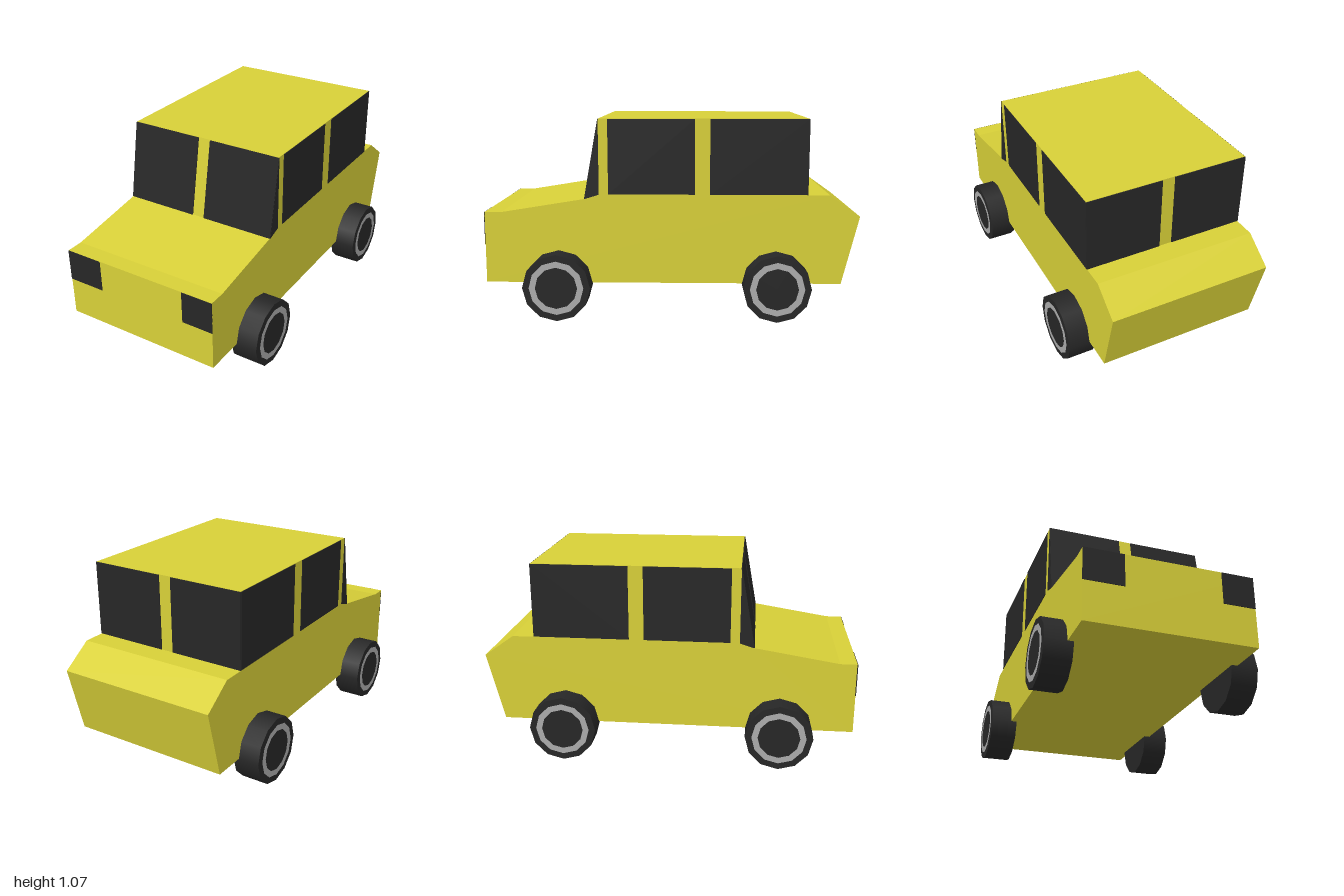
import * as THREE from 'three';

const HALF = 0.443; // half width of the car
const SKIN = 0.004; // thickness of painted plates

const paint = (name, color) => {
  const m = new THREE.MeshStandardMaterial({ color });
  m.name = name;
  return m;
};

export function createModel() {
  const car = new THREE.Group();
  car.name = 'car';
  const yellow = paint('yellow paint', 0xd8d038);
  const black = paint('black', 0x272727);
  const grey = paint('grey rim', 0xacacac);

  const add = (name, geometry, material, parent = car) => {
    const mesh = new THREE.Mesh(geometry, material);
    mesh.name = name;
    parent.add(mesh);
    return mesh;
  };

  // Side profile given as [z, y] points, extruded across from x0 to x1
  const slab = (name, profile, x0, x1, material) => {
    const shape = new THREE.Shape(profile.map(([z, y]) => new THREE.Vector2(z, y)));
    const g = new THREE.ExtrudeGeometry(shape, { depth: x1 - x0, bevelEnabled: false });
    g.rotateY(-Math.PI / 2).translate(x1, 0, 0);
    return add(name, g, material);
  };

  // Lower body and cabin
  slab('body', [[1, 0.183], [1, 0.567], [0.91, 0.567], [0.46, 0.64], [0.385, 0.663],
    [-0.84, 0.663], [-1, 0.55], [-0.91, 0.183]], -HALF, HALF, yellow);
  slab('cabin', [[0.46, 0.64], [0.383, 1.066], [-0.72, 1.066], [-0.72, 0.66], [0.385, 0.66]],
    -HALF, HALF, yellow);

  // Glass on both sides
  const sideGlass = {
    quarterGlass: [[0.46, 0.64], [0.385, 1.062], [0.385, 0.663]],
    frontDoorWindow: [[0.335, 0.665], [0.335, 1.064], [-0.125, 1.064], [-0.125, 0.665]],
    rearDoorWindow: [[-0.205, 0.665], [-0.205, 1.064], [-0.72, 1.064], [-0.72, 0.665]],
  };
  const windscreen = [[0.46, 0.64], [0.46 + SKIN, 0.64], [0.383 + SKIN, 1.064], [0.383, 1.064]];
  const rearWindow = [[-0.72, 0.664], [-0.72, 1.064], [-0.72 - SKIN, 1.064], [-0.72 - SKIN, 0.664]];
  const lamp = [[0.998, 0.393], [1.003, 0.393], [1.003, 0.566], [0.998, 0.566]];

  for (const side of [-1, 1]) {
    const label = side > 0 ? 'left ' : 'right ';
    const across = (name, profile, inner, outer) =>
      slab(label + name, profile, Math.min(side * inner, side * outer),
        Math.max(side * inner, side * outer), black);

    for (const [name, profile] of Object.entries(sideGlass)) {
      across(name, profile, HALF - 0.001, HALF + SKIN - 0.001);
    }
    // Split windscreen and rear window, with a central pillar between the halves
    across('windscreen', windscreen, 0.035, HALF + 0.002);
    across('rearWindow', rearWindow, 0.035, HALF + 0.002);
    across('headlight', lamp, side > 0 ? 0.27 : 0.235, HALF);

    // Wheels: twelve-sided tyres with a flat rim ring
    for (const [end, z] of [['front ', 0.605], ['rear ', -0.56]]) {
      const wheel = new THREE.Group();
      wheel.name = label + end + 'wheel';
      wheel.position.set(side * 0.484, 0.18, z);
      wheel.rotation.y = side * Math.PI / 2;
      car.add(wheel);
      add('tyre', new THREE.CylinderGeometry(0.18, 0.18, 0.146, 12).rotateX(Math.PI / 2), black, wheel);
      add('rim', new THREE.RingGeometry(0.112, 0.145, 12), grey, wheel).position.z = 0.0755;
    }
  }
  return car;
}
